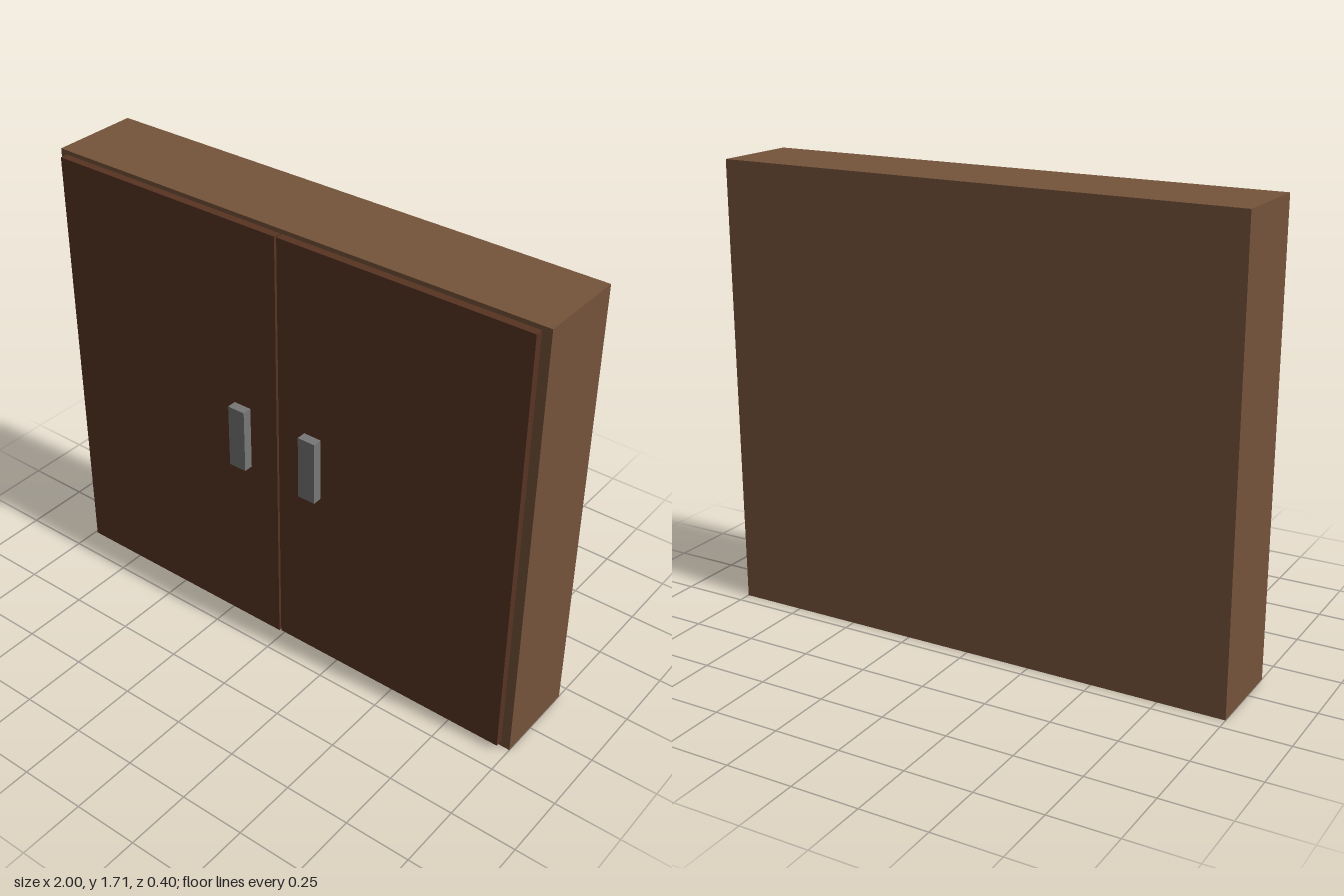
import * as THREE from 'three';

export function createModel() {
  const group = new THREE.Group();
  const material = (name, color) => {
    const m = new THREE.MeshStandardMaterial({ color });
    m.name = name;
    return m;
  };
  const bodyWood = material('bodyWood', 0x75533a);
  const doorWood = material('doorWood', 0x583423);
  const handleGrey = material('handleGrey', 0x777777);

  // Box given by its lower and upper corners
  const box = (name, mat, [x0, y0, z0], [x1, y1, z1]) => {
    const mesh = new THREE.Mesh(new THREE.BoxGeometry(x1 - x0, y1 - y0, z1 - z0), mat);
    mesh.position.set((x0 + x1) / 2, (y0 + y1) / 2, (z0 + z1) / 2);
    mesh.name = name;
    group.add(mesh);
  };

  // Cabinet body
  box('cabinetBody', bodyWood, [-1, 0, -0.2], [1, 1.71, 0.137]);

  // Pair of doors with a narrow gap between them
  box('rightDoor', doorWood, [-0.973, 0.019, 0.137], [-0.009, 1.694, 0.167]);
  box('leftDoor', doorWood, [0, 0.024, 0.137], [0.965, 1.694, 0.167]);

  // Upright block handles
  box('rightHandle', handleGrey, [-0.198, 0.735, 0.167], [-0.127, 0.983, 0.203]);
  box('leftHandle', handleGrey, [0.113, 0.735, 0.167], [0.184, 0.983, 0.203]);

  return group;
}
